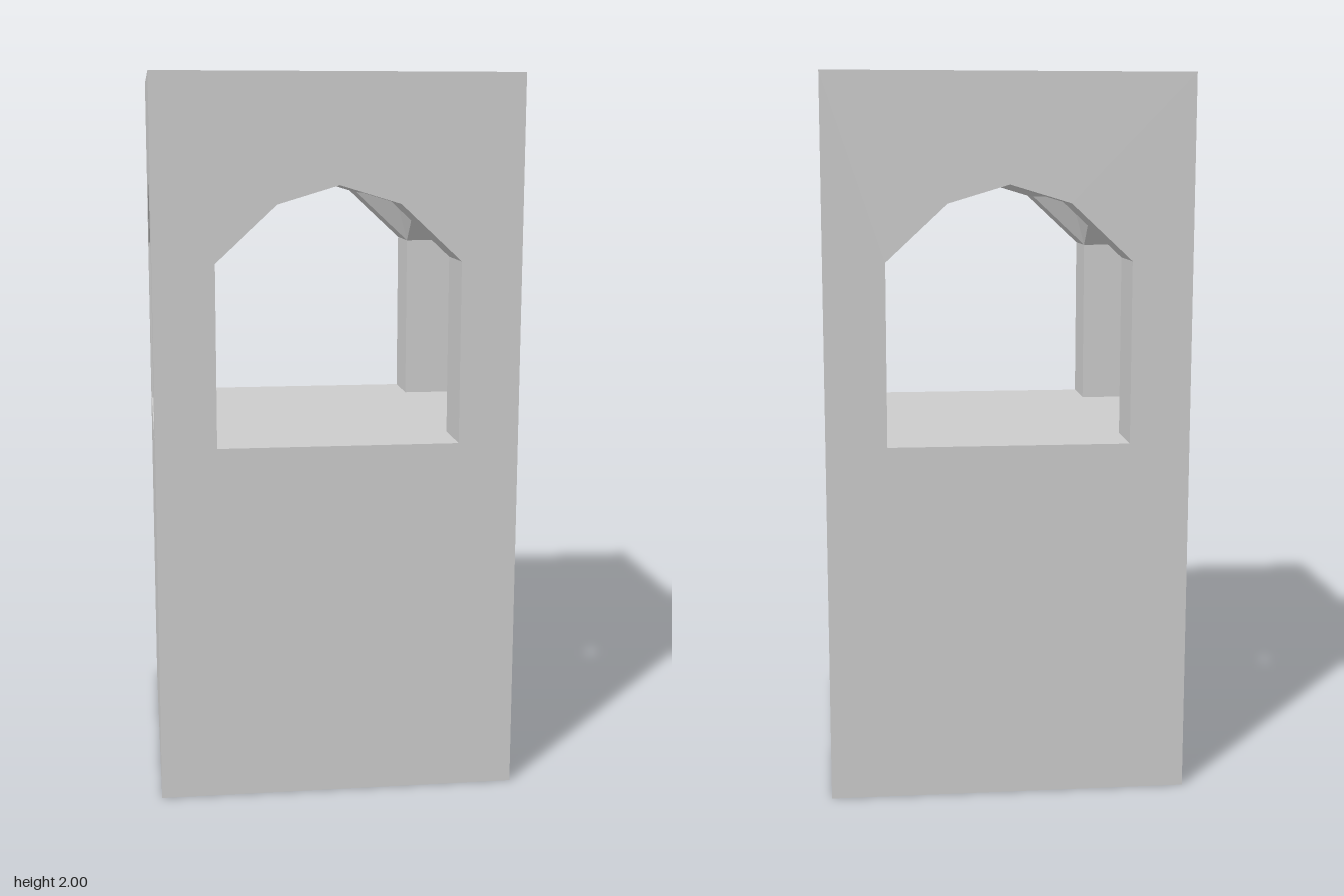
import * as THREE from 'three';

const material = new THREE.MeshStandardMaterial({ color: 0xcccccc, flatShading: true });
const HALF = 0.5;        // half width of the tower
const ROOM = 1 / 3;      // half width of the open chamber
const FLOOR = 1, TOP = 2;

// Opening outline, clockwise from the lower left
const arch = [
  [-ROOM, FLOOR], [-ROOM, 1.5], [-ROOM / 2, 1.655], [0, 1.705],
  [ROOM / 2, 1.655], [ROOM, 1.5], [ROOM, FLOOR],
];

// Flat-shaded geometry from convex polygons given as corner lists
function facets(polygons) {
  const positions = [];
  for (const p of polygons)
    for (let i = 1; i < p.length - 1; i++) positions.push(...p[0], ...p[i], ...p[i + 1]);
  const geometry = new THREE.BufferGeometry();
  geometry.setAttribute('position', new THREE.Float32BufferAttribute(positions, 3));
  geometry.computeVertexNormals();
  return geometry;
}

function addMesh(parent, name, geometry) {
  const mesh = new THREE.Mesh(geometry, material);
  mesh.name = name;
  parent.add(mesh);
  return mesh;
}

// Horizontal square facing up or down
function addSlab(parent, name, size, y, up) {
  const mesh = addMesh(parent, name, new THREE.PlaneGeometry(size, size));
  mesh.rotation.x = up ? -Math.PI / 2 : Math.PI / 2;
  mesh.position.y = y;
}

// Outer wall pierced by the arched opening
function wallGeometry() {
  const shape = new THREE.Shape([
    new THREE.Vector2(-HALF, 0), new THREE.Vector2(HALF, 0),
    new THREE.Vector2(HALF, TOP), new THREE.Vector2(-HALF, TOP),
  ]);
  shape.holes.push(new THREE.Path(arch.map(([x, y]) => new THREE.Vector2(x, y))));
  return new THREE.ShapeGeometry(shape).translate(0, 0, HALF);
}

// Jambs, arch soffit and sill through the wall thickness
function revealGeometry() {
  return facets(arch.map(([ax, ay], i) => {
    const [bx, by] = arch[(i + 1) % arch.length];
    return [[ax, ay, HALF], [ax, ay, ROOM], [bx, by, ROOM], [bx, by, HALF]];
  }));
}

// One quarter of the faceted dome, rising from the arch and two corners
function domeGeometry() {
  const apex = [0, 1.84, 0];
  const ringMid = [0, 1.812, 0.185], ringDiagonal = [0.131, 1.812, 0.131];
  const lowDiagonal = [0.2835, 1.655, 0.2835];
  const crown = [0, 1.705, ROOM], haunch = [ROOM / 2, 1.655, ROOM], corner = [ROOM, 1.5, ROOM];
  const half = [
    [apex, ringDiagonal, ringMid],
    [ringMid, ringDiagonal, lowDiagonal, haunch, crown],
    [haunch, lowDiagonal, corner],
  ];
  const mirrored = half.map(p => p.map(([x, y, z]) => [-x, y, z]).reverse());
  return facets([...half, ...mirrored]);
}

export function createModel() {
  const model = new THREE.Group();
  model.name = 'archedTower';

  addSlab(model, 'roof', 2 * HALF, TOP, true);
  addSlab(model, 'underside', 2 * HALF, 0, false);
  addSlab(model, 'chamberFloor', 2 * ROOM, FLOOR, true);

  // Four identical sides
  const wall = wallGeometry(), reveal = revealGeometry(), dome = domeGeometry();
  ['front', 'left', 'back', 'right'].forEach((name, i) => {
    const side = new THREE.Group();
    side.name = name + 'Side';
    addMesh(side, 'wall', wall);
    addMesh(side, 'archReveal', reveal);
    addMesh(side, 'domeQuarter', dome);
    side.rotation.y = i * Math.PI / 2;
    model.add(side);
  });
  return model;
}
